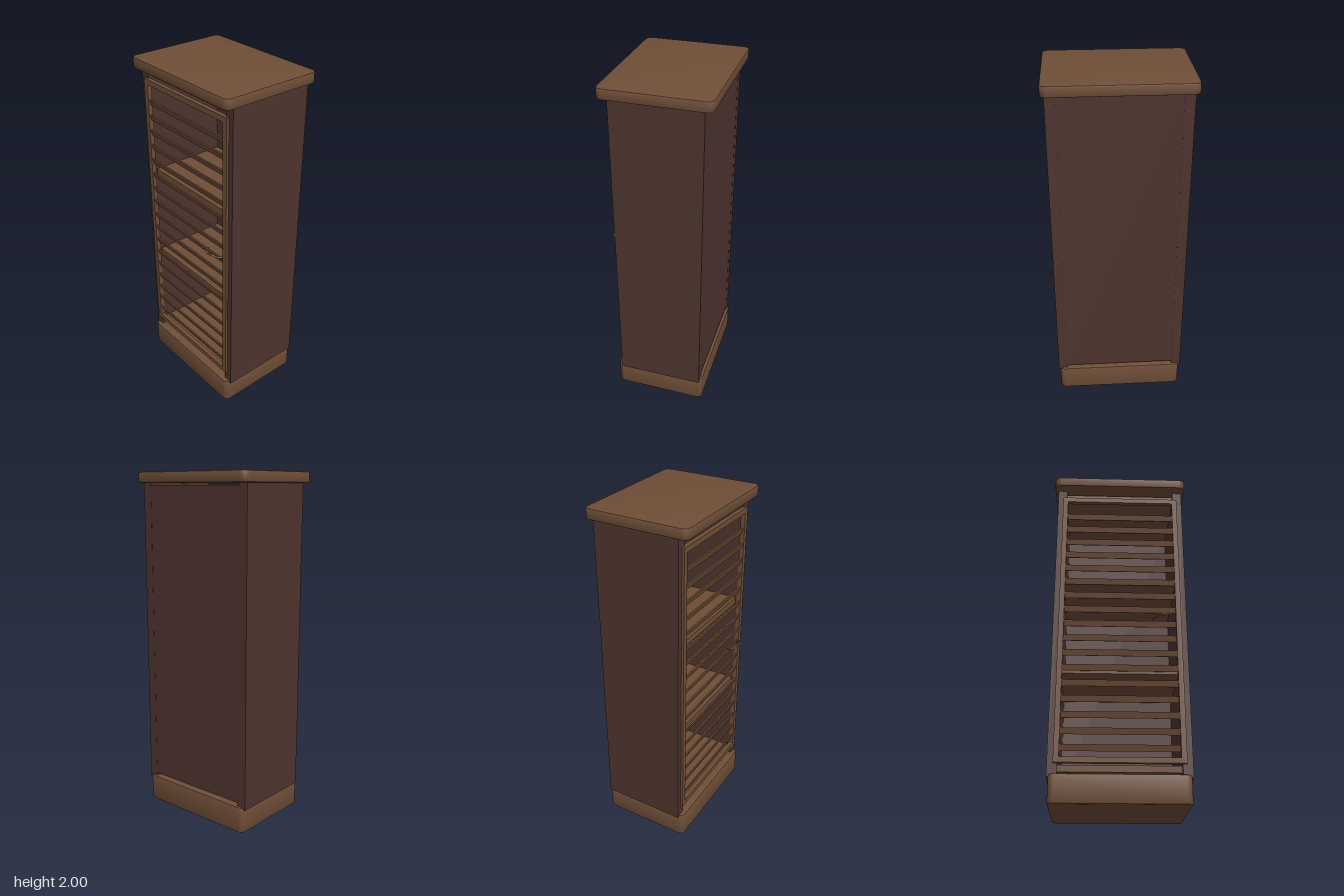
import * as THREE from 'three';
import { toCreasedNormals } from 'three/addons/utils/BufferGeometryUtils.js';

const brown = new THREE.MeshStandardMaterial({ color: 0x6f4e37 });
brown.name = 'brown wood';
const dark = new THREE.MeshStandardMaterial({ color: 0x4e342e });
dark.name = 'dark wood';

function add(parent, name, geometry, material, x = 0, y = 0, z = 0) {
  const mesh = new THREE.Mesh(geometry, material);
  mesh.name = name;
  mesh.position.set(x, y, z);
  parent.add(mesh);
  return mesh;
}

// box given by its lower and upper corners
function box(parent, name, material, [x0, y0, z0], [x1, y1, z1]) {
  return add(parent, name, new THREE.BoxGeometry(x1 - x0, y1 - y0, z1 - z0), material,
    (x0 + x1) / 2, (y0 + y1) / 2, (z0 + z1) / 2);
}

// slab with rounded corners and soft edges, standing on y = 0
function slab(width, depth, height, radius, bevel) {
  const w = width / 2, d = depth / 2, r = radius;
  const shape = new THREE.Shape();
  shape.absarc(w - r, d - r, r, 0, Math.PI / 2);
  shape.absarc(-w + r, d - r, r, Math.PI / 2, Math.PI);
  shape.absarc(-w + r, -d + r, r, Math.PI, Math.PI * 1.5);
  shape.absarc(w - r, -d + r, r, Math.PI * 1.5, Math.PI * 2);
  shape.closePath();
  const geometry = new THREE.ExtrudeGeometry(shape, {
    depth: height - 2 * bevel, curveSegments: 2, bevelEnabled: true,
    bevelThickness: bevel, bevelSize: bevel, bevelOffset: -bevel, bevelSegments: 2,
  });
  geometry.translate(0, 0, bevel);
  geometry.rotateX(-Math.PI / 2);
  return toCreasedNormals(geometry, 0.7);
}

export function createModel() {
  const model = new THREE.Group();
  model.name = 'cabinet';

  // plinth and top
  add(model, 'base', slab(0.742, 0.54, 0.155, 0.03, 0.01), brown);
  add(model, 'top', slab(0.8, 0.6, 0.062, 0.036, 0.01), brown, 0, 1.938, 0);

  // carcass
  for (const s of [-1, 1]) {
    add(model, s > 0 ? 'leftSide' : 'rightSide', new THREE.BoxGeometry(0.055, 1.8, 0.497), dark,
      s * 0.3525, 1.042, -0.0065);
  }
  box(model, 'backPanel', dark, [-0.325, 0.172, -0.254], [0.325, 1.926, -0.235]);

  // shelves, including the floor and the ceiling
  for (const y of [0.192, 0.742, 1.305, 1.906]) {
    box(model, 'shelf', brown, [-0.325, y - 0.018, -0.235], [0.325, y + 0.018, 0.22]);
  }

  // door frame
  const door = new THREE.Group();
  door.name = 'door';
  model.add(door);
  const frame = new THREE.Shape();
  frame.moveTo(-0.348, 0.215).lineTo(0.348, 0.215).lineTo(0.348, 1.88).lineTo(-0.348, 1.88).closePath();
  const opening = new THREE.Path();
  opening.moveTo(-0.318, 0.245).lineTo(-0.318, 1.85).lineTo(0.318, 1.85).lineTo(0.318, 0.245).closePath();
  frame.holes.push(opening);
  add(door, 'doorFrame', new THREE.ExtrudeGeometry(frame, { depth: 0.026, bevelEnabled: false }), brown, 0, 0, 0.23);

  // tilted slats
  const slat = new THREE.BoxGeometry(0.64, 0.036, 0.008);
  for (let i = 0; i < 17; i++) {
    add(door, 'slat', slat, brown, 0, 0.297 + i * 0.0906, 0.242).rotation.x = 0.3;
  }

  // bowed handle
  const path = new THREE.CatmullRomCurve3([
    [0.185, 1.047, 0.25], [0.2, 1.054, 0.278], [0.222, 1.066, 0.292], [0.247, 1.058, 0.294],
    [0.272, 1.066, 0.292], [0.292, 1.054, 0.278], [0.307, 1.047, 0.25],
  ].map((p) => new THREE.Vector3(...p)));
  add(door, 'handle', new THREE.TubeGeometry(path, 24, 0.006, 8), brown);

  return model;
}
